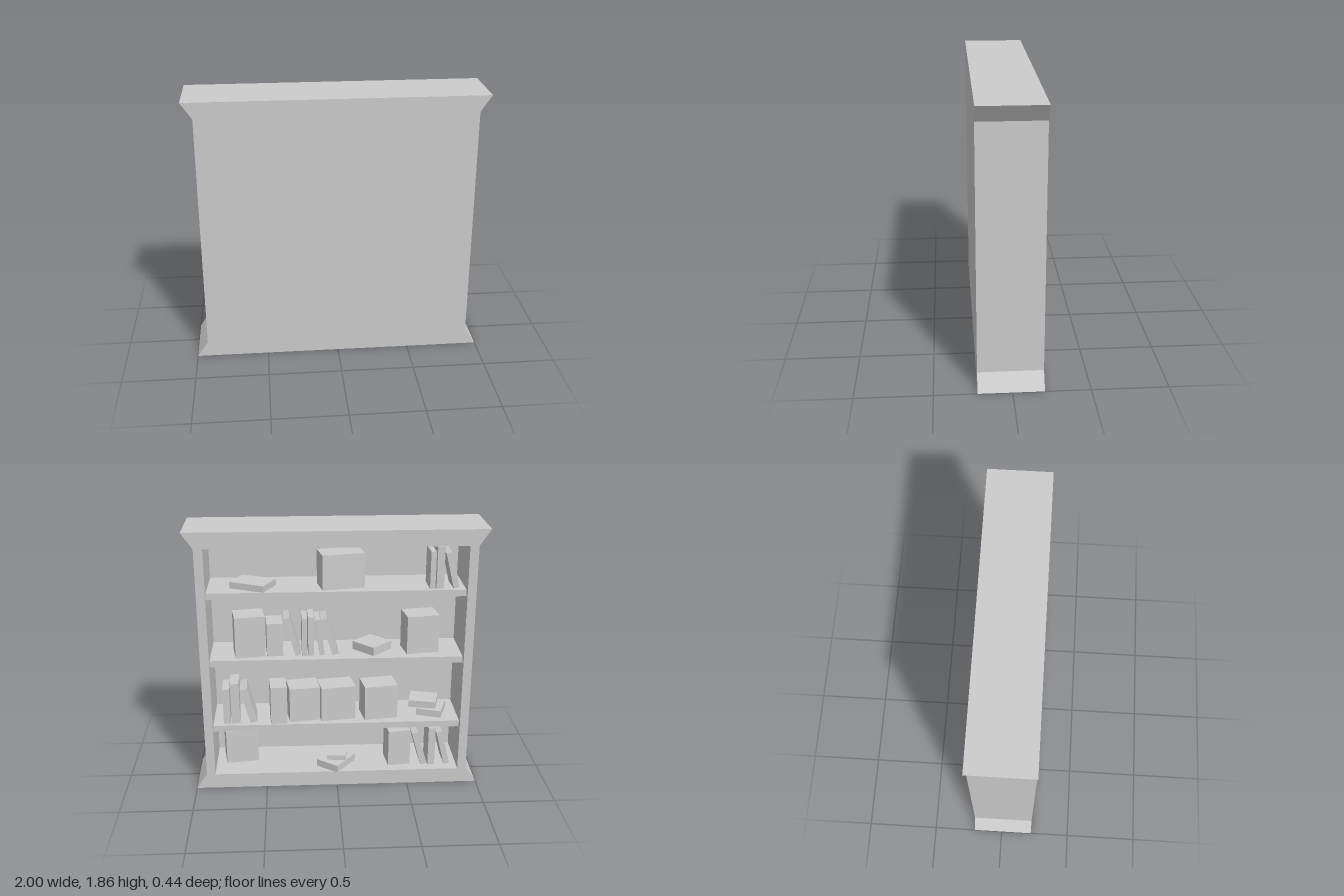
import * as THREE from 'three';

const FRONT = -0.205; // plane of the open side
const PANEL = 0.192;  // inner face of the closing panel
const BACK = 0.222;
const GAP = 0.007;    // space between neighbouring books

export function createModel() {
  const model = new THREE.Group();
  const grey = new THREE.MeshStandardMaterial({ color: 0xcccccc });
  grey.name = 'plainGrey';

  function add(name, geometry) {
    const mesh = new THREE.Mesh(geometry, grey);
    mesh.name = name;
    model.add(mesh);
    return mesh;
  }

  // Outline with flared base and cornice
  function outline() {
    const shape = new THREE.Shape();
    shape.moveTo(-1, 0).lineTo(1, 0).lineTo(0.925, 0.11).lineTo(0.925, 1.75);
    shape.lineTo(1, 1.86).lineTo(-1, 1.86).lineTo(-0.925, 1.75).lineTo(-0.925, 0.11);
    return shape;
  }

  function slab(name, shape, z0, z1) {
    const geometry = new THREE.ExtrudeGeometry(shape, { depth: z1 - z0, bevelEnabled: false });
    add(name, geometry.translate(0, 0, z0));
  }

  // Frame with a rectangular opening, closed by a full panel
  const frame = outline();
  const opening = new THREE.Path();
  opening.moveTo(-0.865, 0.107).lineTo(-0.865, 1.75).lineTo(0.865, 1.75).lineTo(0.865, 0.107);
  frame.holes.push(opening);
  slab('frame', frame, FRONT, PANEL);
  slab('closingPanel', outline(), PANEL, BACK);

  // Shelves, set back slightly from the opening
  const floor = 0.107, low = 0.47, middle = 0.96, high = 1.44;
  for (const y of [low, middle, high]) {
    const z0 = FRONT + 0.04;
    add('shelf', new THREE.BoxGeometry(1.73, 0.045, PANEL - z0))
      .position.set(0, y - 0.0225, (z0 + PANEL) / 2);
  }

  // A book placed by its lower +x corner nearest the opening, so it can lean about that edge
  function book(name, x, y, inset, width, height, depth, yaw, lean) {
    const geometry = new THREE.BoxGeometry(width, height, depth)
      .translate(-width / 2, height / 2, depth / 2);
    const mesh = add(name, geometry);
    mesh.position.set(x, y, FRONT + inset);
    mesh.rotation.set(0, yaw, -lean, 'YXZ');
  }

  // Books packed side by side towards -x; a leaning book rests its top on the one before
  function standing(y, x, inset, ...sizes) {
    let lastLean = 0;
    for (const [width, height, lean = 0] of sizes) {
      x -= height * Math.max(0, Math.sin(lean) - Math.sin(lastLean));
      book('standingBook', x, y, inset, width, height, 0.175, width * 0.65, lean);
      x -= width * Math.cos(lean) + GAP;
      lastLean = lean;
    }
  }

  function lying(y, x, inset, yaw, width, depth, height) {
    book('lyingBook', x, y, inset, width, height, depth, yaw, 0);
  }

  // Bottom compartment
  standing(floor, 0.79, 0.16, [0.23, 0.25]);
  standing(floor, -0.372, 0.07, [0.16, 0.27], [0.045, 0.26, 0.27], [0.05, 0.29], [0.04, 0.26, 0.24]);
  lying(floor, 0.14, 0.09, -0.65, 0.176, 0.23, 0.052);
  lying(floor + 0.052, 0.07, 0.08, -0.1, 0.137, 0.125, 0.036);

  // Low shelf
  standing(low, 0.793, 0.075, [0.048, 0.26], [0.06, 0.3], [0.05, 0.26, 0.25]);
  standing(low, 0.46, 0.05, [0.115, 0.275]);
  standing(low, 0.328, 0.075, [0.215, 0.25], [0.245, 0.25]);
  standing(low, -0.2, 0.08, [0.237, 0.25]);
  lying(low, -0.573, 0.148, -0.33, 0.177, 0.2, 0.05);
  lying(low + 0.05, -0.52, 0.18, -0.23, 0.195, 0.17, 0.05);

  // Middle shelf
  standing(middle, 0.69, 0.08, [0.206, 0.29]);
  standing(middle, 0.475, 0.105, [0.11, 0.235], [0.04, 0.28, 0.28], [0.035, 0.27],
    [0.04, 0.28], [0.035, 0.26, 0.12], [0.045, 0.27, 0.3]);
  standing(middle, -0.487, 0.1, [0.226, 0.27]);
  lying(middle, -0.118, 0.218, -0.8, 0.195, 0.19, 0.06);

  // High shelf
  standing(high, 0.094, 0.07, [0.29, 0.238]);
  standing(high, -0.624, 0.07, [0.036, 0.255], [0.05, 0.285], [0.04, 0.25, 0.24]);
  lying(high, 0.715, 0.15, -0.448, 0.254, 0.186, 0.045);

  return model;
}
